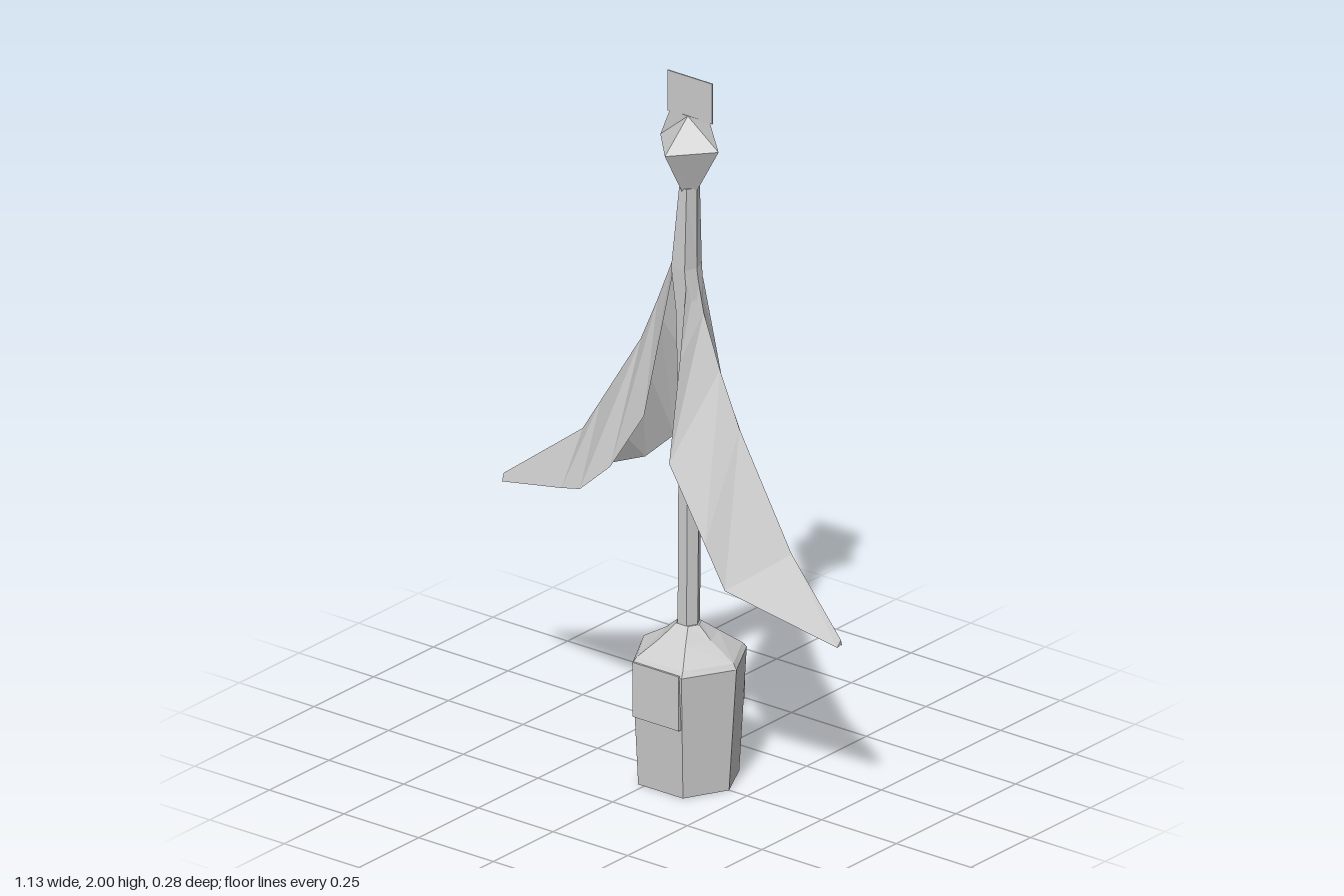
import * as THREE from 'three';

const material = new THREE.MeshStandardMaterial({ color: 0xcccccc, flatShading: true, side: THREE.DoubleSide });
const CX = 0.055; // axis of the stem and pot

// Skin a list of equal-length rings, each a loop of [x, y, z] points
function loft(name, rings, capStart, capEnd) {
  const n = rings[0].length;
  const index = [];
  for (let r = 0; r < rings.length - 1; r++) {
    for (let i = 0; i < n; i++) {
      const j = (i + 1) % n;
      const a = r * n + i, b = r * n + j, c = a + n, d = b + n;
      // mirrored diagonals keep both halves of a four-point ring alike
      if (i % 2) index.push(a, c, b, b, c, d);
      else index.push(a, c, d, a, d, b);
    }
  }
  const last = (rings.length - 1) * n;
  for (let i = 1; i < n - 1; i++) {
    if (capStart) index.push(0, i, i + 1);
    if (capEnd) index.push(last, last + i + 1, last + i);
  }
  const geometry = new THREE.BufferGeometry();
  geometry.setAttribute('position', new THREE.Float32BufferAttribute(rings.flat(2), 3));
  geometry.setIndex(index);
  const flat = geometry.toNonIndexed();
  flat.computeVertexNormals();
  const mesh = new THREE.Mesh(flat, material);
  mesh.name = name;
  return mesh;
}

// Six-sided ring: flat front and back, pointed left and right
function hexRing(y, left, right, innerLeft, innerRight, depth) {
  return [
    [right, y, 0], [innerRight, y, -depth], [innerLeft, y, -depth],
    [left, y, 0], [innerLeft, y, depth], [innerRight, y, depth],
  ];
}

// Folded leaf: each section is [midrib x, y, margin x, y, half width]
function leaf(name, sections) {
  const rings = sections.map(([mx, my, ex, ey, w]) => {
    const t = 0.1;
    return [
      [mx, my, 0], [ex, ey, w],
      [mx + (ex - mx) * t, my + (ey - my) * t - 0.012, 0], [ex, ey, -w],
    ];
  });
  return loft(name, rings, true, true);
}

export function createModel() {
  const group = new THREE.Group();
  group.name = 'pottedPlant';

  // Hollow pot, open underneath, with a domed top
  group.add(loft('pot', [
    hexRing(0, -0.08, 0.19, -0.02, 0.13, 0.118),
    hexRing(0.35, -0.1, 0.215, -0.025, 0.14, 0.137),
    hexRing(0.365, -0.095, 0.205, -0.02, 0.135, 0.125),
    hexRing(0.41, -0.02, 0.13, 0.015, 0.1, 0.07),
    hexRing(0.445, 0.02, 0.09, 0.035, 0.075, 0.028),
  ], false, true));

  // Slightly raised panels on the front and back of the pot
  for (const side of [1, -1]) {
    const panel = new THREE.Mesh(new THREE.BoxGeometry(0.155, 0.155, 0.012), material);
    panel.name = side > 0 ? 'frontPanel' : 'backPanel';
    panel.position.set(CX, 0.277, side * 0.133);
    group.add(panel);
  }

  // Stem, swelling where the leaves join
  group.add(loft('stem', [
    hexRing(0.43, 0.025, 0.085, 0.04, 0.07, 0.028),
    hexRing(1.0, 0.035, 0.09, 0.045, 0.075, 0.03),
    hexRing(1.34, 0.02, 0.1, 0.04, 0.08, 0.035),
    hexRing(1.46, 0.002, 0.082, 0.025, 0.07, 0.036),
    hexRing(1.69, 0.033, 0.082, 0.045, 0.07, 0.028),
  ], true, true));

  // Leaves
  group.add(leaf('rightLeaf', [
    [0.0, 1.46, 0.03, 1.43, 0.04],
    [-0.05, 1.335, 0.005, 1.06, 0.125],
    [-0.105, 1.21, -0.1, 0.89, 0.135],
    [-0.24, 0.995, -0.2, 0.8, 0.137],
    [-0.3, 0.9, -0.285, 0.77, 0.108],
    [-0.565, 0.7, -0.562, 0.68, 0.01],
  ]));
  group.add(leaf('leftLeaf', [
    [0.082, 1.45, 0.075, 1.42, 0.035],
    [0.105, 1.34, 0.085, 1.22, 0.075],
    [0.16, 1.19, 0.095, 0.95, 0.132],
    [0.225, 1.04, 0.215, 0.75, 0.132],
    [0.4, 0.73, 0.27, 0.63, 0.118],
    [0.565, 0.53, 0.56, 0.51, 0.01],
  ]));

  // Faceted bud: small square base, wide middle, ridge on top
  group.add(loft('bud', [
    [[CX + 0.027, 1.68, 0], [CX, 1.68, 0.028], [CX - 0.027, 1.68, 0], [CX, 1.68, -0.028]],
    [[0.155, 1.81, 0], [CX, 1.805, 0.1], [-0.04, 1.81, 0], [CX, 1.805, -0.1]],
    [[0.125, 1.888, 0], [CX, 1.888, 0.004], [-0.008, 1.888, 0], [CX, 1.888, -0.004]],
  ], true, true));

  // Thin upright blade above the bud
  const blade = new THREE.Mesh(new THREE.BoxGeometry(0.15, 0.115, 0.004), material);
  blade.name = 'topBlade';
  blade.position.set(0.06, 1.9425, 0);
  group.add(blade);

  return group;
}
